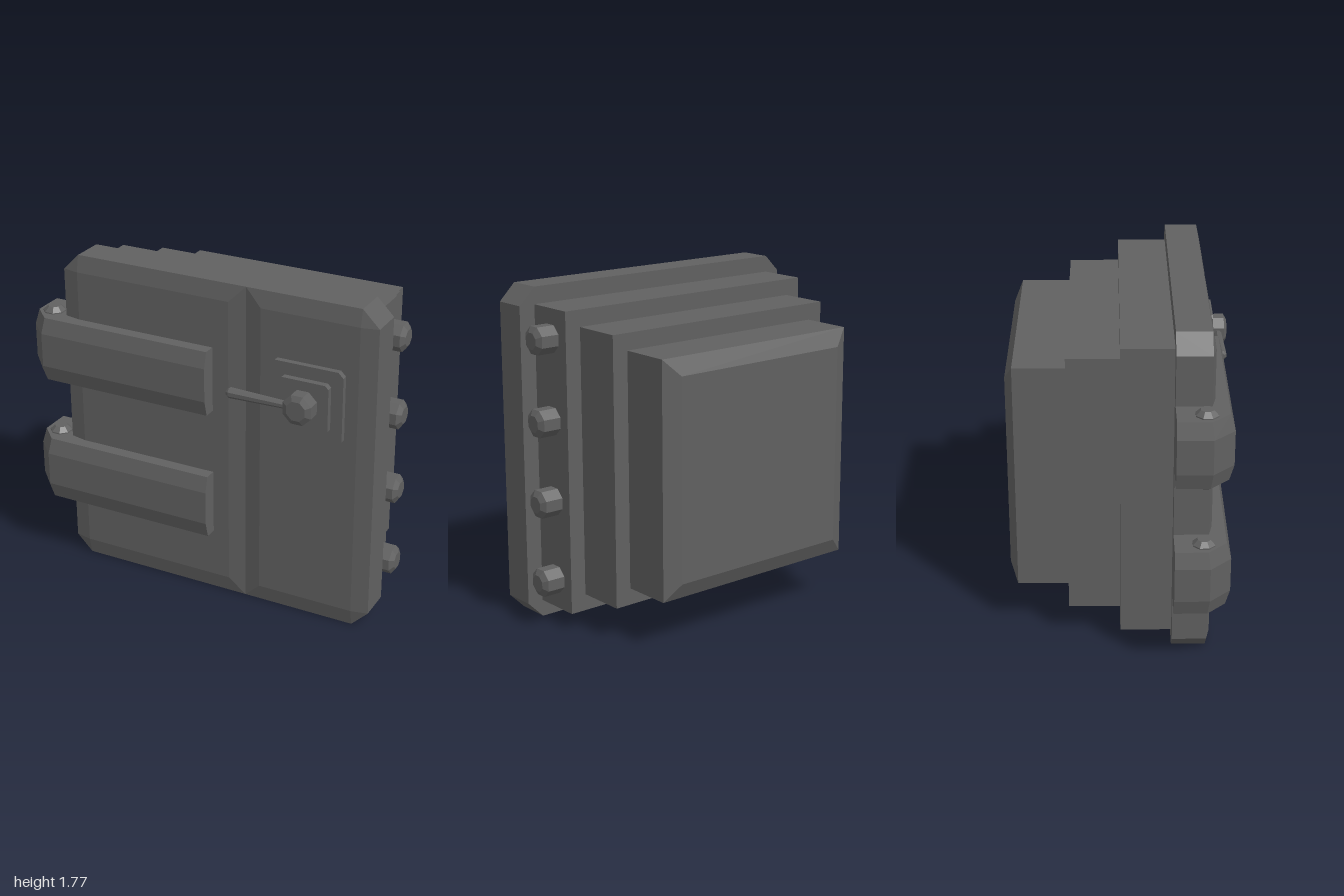
import * as THREE from 'three';

const gunmetal = new THREE.MeshStandardMaterial({ color: 0x606060 });
gunmetal.name = 'gunmetal';

// Loft through convex counter-clockwise loops stacked along +z, with flat facets and end caps.
// sections: [[z, [[x, y], ...]], ...]
function loft(sections) {
  const loops = sections.map(([z, pts]) => pts.map(([x, y]) => new THREE.Vector3(x, y, z)));
  const pos = [];
  const tri = (a, b, c) => {
    if (a.equals(b) || b.equals(c) || c.equals(a)) return;
    for (const p of [a, b, c]) pos.push(p.x, p.y, p.z);
  };
  const n = loops[0].length;
  for (let s = 0; s < loops.length - 1; s++) {
    const a = loops[s], b = loops[s + 1];
    for (let i = 0; i < n; i++) {
      const j = (i + 1) % n;
      tri(a[i], a[j], b[j]);
      tri(a[i], b[j], b[i]);
    }
  }
  const first = loops[0], last = loops[loops.length - 1];
  for (let i = 1; i < n - 1; i++) {
    tri(first[0], first[i + 1], first[i]);
    tri(last[0], last[i], last[i + 1]);
  }
  const g = new THREE.BufferGeometry();
  g.setAttribute('position', new THREE.Float32BufferAttribute(pos, 3));
  g.computeVertexNormals();
  return g;
}

const rect = (x0, x1, y0, y1) => [[x0, y0], [x1, y0], [x1, y1], [x0, y1]];

// Rectangle with cut corners
const cutRect = (x0, x1, y0, y1, c) => [
  [x0 + c, y0], [x1 - c, y0], [x1, y0 + c], [x1, y1 - c],
  [x1 - c, y1], [x0 + c, y1], [x0, y1 - c], [x0, y0 + c],
];

// Octagon with flats on the axes; r is the distance to a flat
const octagon = (r) => cutRect(-r, r, -r, r, r * 0.586);

export function createModel() {
  const model = new THREE.Group();
  model.name = 'safeDoor';
  const add = (name, geometry, x = 0, y = 0, z = 0) => {
    const mesh = new THREE.Mesh(geometry, gunmetal);
    mesh.name = name;
    mesh.position.set(x, y, z);
    model.add(mesh);
    return mesh;
  };

  // Front slab: two bevelled panels meeting in a shallow vertical groove
  const T = 1.775, c = 0.09, groove = 0.26;
  const panelOuter = [[-0.71, 0], [groove, 0], [groove, T], [-0.71, T], [-0.8, T - c], [-0.8, c]];
  const panelInner = [[-0.71, c], [groove - c, c], [groove - c, T - c],
    [-0.71, T - c], [-0.71, T - c], [-0.71, c]];
  const mirror = (pts) => pts.map(([x, y]) => [0.17 - x, y]).reverse();
  const rightOuter = mirror(panelOuter).map(([x, y]) => [x < 0 ? groove : x, y]);
  const rightInner = mirror(panelInner).map(([x, y]) => [x < 0.1 ? groove + c : x, y]);
  add('hingeSidePanel', loft([[0.252, panelOuter], [0.43, panelOuter], [0.449, panelInner]]));
  add('handleSidePanel', loft([[0.252, rightOuter], [0.43, rightOuter], [0.449, rightInner]]));

  // Stepped plug behind the slab
  const step = (k) => rect(-0.71 + k * 0.0885, 0.88 - k * 0.0885, 0.09 + k * 0.0885, 1.685 - k * 0.0885);
  add('plugStepLarge', loft([[-0.014, step(0)], [0.252, step(0)]]));
  add('plugStepMiddle', loft([[-0.283, step(1)], [-0.014, step(1)]]));
  add('plugStepSmall', loft([[-0.594, step(3)], [-0.552, step(2)], [-0.283, step(2)]]));

  // Locking bolts along the opening side
  for (let i = 0; i < 4; i++) {
    const bolt = loft([[0, octagon(0.071)], [0.105, octagon(0.071)], [0.125, octagon(0.042)]]);
    bolt.rotateY(Math.PI / 2);
    add('lockingBolt', bolt, 0.875, 0.25 + i * 0.427, 0.118);
  }

  // Hinge straps wrapping the edge, each with a pin
  const strapOuter = [[-1, -0.43], [-0.893, -0.538], [0.08, -0.538], [0.08, -0.43], [-0.78, -0.252], [-1, -0.252]];
  const strapInner = [[-0.977, -0.42], [-0.883, -0.515], [0.08, -0.515], [0.08, -0.43], [-0.78, -0.252], [-0.977, -0.252]];
  for (const y of [0.535, 1.245]) {
    const strap = loft([[-0.177, strapInner], [-0.092, strapOuter], [0.092, strapOuter], [0.177, strapInner]]);
    strap.rotateX(-Math.PI / 2);
    add('hingeStrap', strap, 0, y, 0);
    const pin = loft([[-0.208, octagon(0.032)], [-0.183, octagon(0.056)],
      [0.183, octagon(0.056)], [0.208, octagon(0.032)]]);
    pin.rotateX(-Math.PI / 2);
    add('hingePin', pin, -0.893, y, 0.4);
  }

  // Handle: two backing plates, a hub and a slim lever
  const plate = (x0, x1, y0, y1, cut, z0, z1) => {
    const p = cutRect(x0, x1, y0, y1, cut);
    return loft([[z0, p], [z1, p]]);
  };
  add('handleBackPlate', plate(0.417, 0.813, 1.045, 1.443, 0.027, 0.44, 0.48));
  add('handleInnerPlate', plate(0.48, 0.75, 1.11, 1.375, 0.018, 0.47, 0.513));
  add('handleHub', loft([[0.5, octagon(0.077)], [0.58, octagon(0.077)], [0.596, octagon(0.05)]]), 0.614, 1.246, 0);
  const lever = loft([[0, octagon(0.018)], [0.33, octagon(0.026)], [0.345, octagon(0.016)]]);
  lever.rotateY(-Math.PI / 2);
  add('handleLever', lever, 0.56, 1.246, 0.547);

  return model;
}
